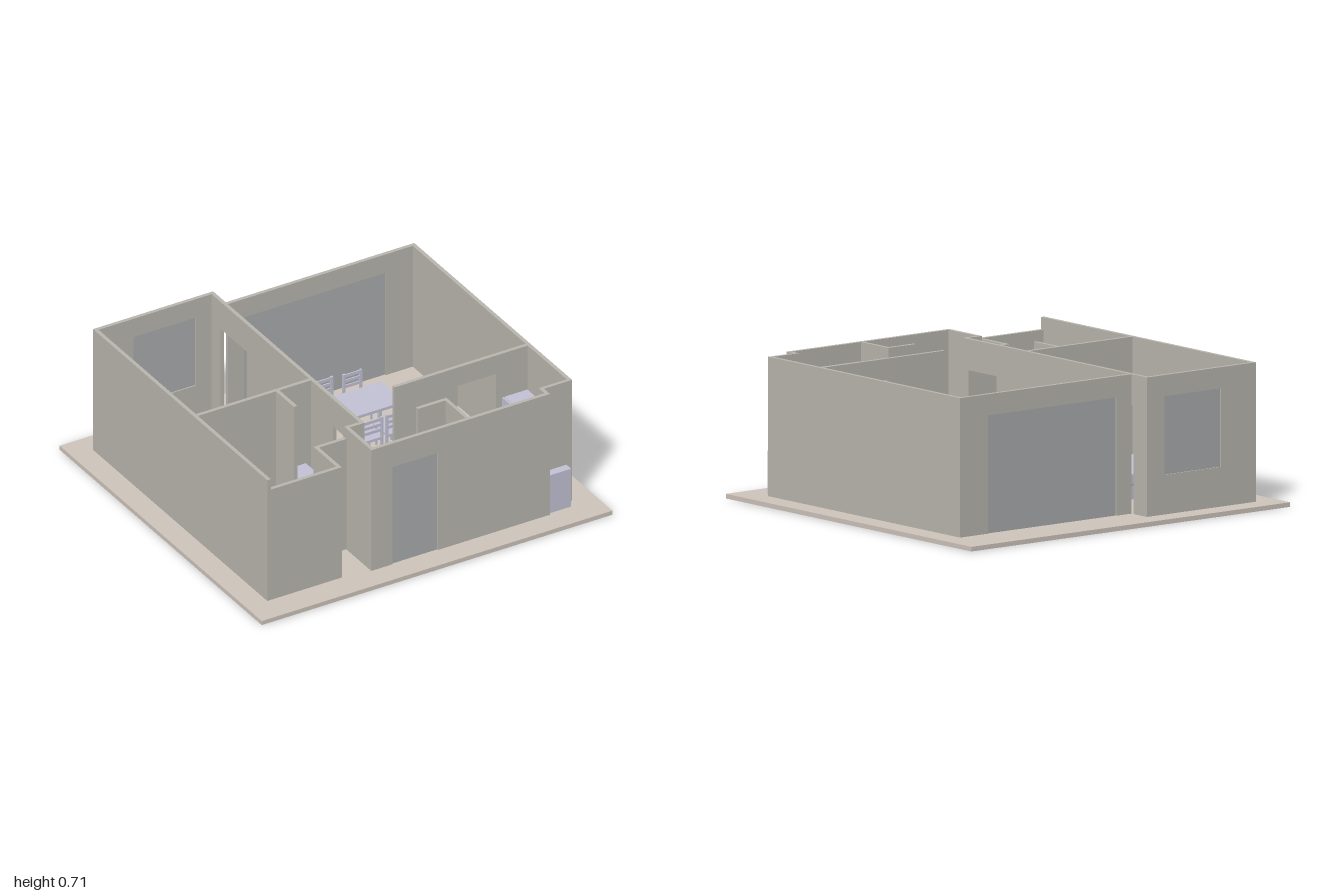
import * as THREE from 'three';
import { RoundedBoxGeometry } from 'three/addons/geometries/RoundedBoxGeometry.js';

const mat = (color) => new THREE.MeshStandardMaterial({ color });
const FLOOR = 0.023, TOP = 0.715, LOW = 0.655;

export function createModel() {
  const house = new THREE.Group();
  house.name = 'house';
  const ground = mat(0xcfc5bc), plaster = mat(0xbab7af), glass = mat(0xa9acae);
  const furniture = mat(0xc3c3d6), metal = mat(0x77777f);

  const group = (name, parent = house) => {
    const g = new THREE.Group();
    g.name = name;
    parent.add(g);
    return g;
  };
  const add = (parent, name, geometry, material, x = 0, y = 0, z = 0) => {
    const m = new THREE.Mesh(geometry, material);
    m.name = name;
    m.position.set(x, y, z);
    parent.add(m);
    return m;
  };
  // box given by its limits; a radius rounds the edges
  const box = (parent, name, x0, x1, y0, y1, z0, z1, material = furniture, r = 0) => {
    const size = [x1 - x0, y1 - y0, z1 - z0];
    const geo = r ? new RoundedBoxGeometry(...size, 3, r) : new THREE.BoxGeometry(...size);
    return add(parent, name, geo, material, (x0 + x1) / 2, (y0 + y1) / 2, (z0 + z1) / 2);
  };
  // rounded rectangle drawn around the origin
  const roundRect = (Type, w, d, r) => {
    const s = new Type();
    s.moveTo(w / 2, 0);
    for (const [sx, sy, a] of [[1, 1, 0], [-1, 1, 1], [-1, -1, 2], [1, -1, 3]]) {
      s.absarc(sx * (w / 2 - r), sy * (d / 2 - r), r, a * Math.PI / 2, (a + 1) * Math.PI / 2, false);
    }
    s.closePath();
    return s;
  };
  // open basin: hollow rim plus a bottom
  const basin = (parent, name, w, d, h, rim, r, x, y, z) => {
    const shape = roundRect(THREE.Shape, w, d, r);
    shape.holes.push(roundRect(THREE.Path, w - 2 * rim, d - 2 * rim, r));
    const geo = new THREE.ExtrudeGeometry(shape, { depth: h, bevelEnabled: false, curveSegments: 8 });
    add(parent, name, geo.rotateX(-Math.PI / 2), furniture, x, y, z);
    box(parent, name + 'Bottom', x - w / 2 + rim / 2, x + w / 2 - rim / 2, y, y + h * 0.3,
      z - d / 2 + rim / 2, z + d / 2 - rim / 2, furniture);
  };

  box(house, 'groundSlab', -1, 1, 0, FLOOR, -0.957, 0.957, ground);

  // walls, each with an optional opening [start, end, bottom, top, hasPane] along its length
  const wall = (name, x0, x1, z0, z1, top = TOP, hole = null) => {
    const g = group(name);
    if (!hole) { box(g, name, x0, x1, FLOOR, top, z0, z1, plaster); return; }
    const [a, b, y0, y1, pane] = hole;
    const alongX = x1 - x0 > z1 - z0;
    const part = (n, s, e, lo, hi, m = plaster, inset = 0) => alongX
      ? box(g, n, s, e, lo, hi, z0 + inset, z1 - inset, m)
      : box(g, n, x0 + inset, x1 - inset, lo, hi, s, e, m);
    part('wallStart', alongX ? x0 : z0, a, FLOOR, top);
    part('wallEnd', b, alongX ? x1 : z1, FLOOR, top);
    part('lintel', a, b, y1, top);
    if (y0 > FLOOR) part('sill', a, b, FLOOR, y0);
    if (pane) part('pane', a, b, y0, y1, glass, 0.007);
  };
  wall('leftSideWall', -0.88, -0.86, -0.84, 0.81);
  wall('bedroomBackWall', -0.86, -0.195, -0.84, -0.82, TOP, [-0.66, -0.305, 0.22, 0.61, true]);
  wall('bedroomDividerWall', -0.215, -0.195, -0.82, 0.3, TOP, [-0.735, -0.49, FLOOR, 0.56, false]);
  wall('bathroomDividerWall', -0.215, -0.195, 0.3, 0.595, TOP, [0.33, 0.55, FLOOR, 0.56, false]);
  wall('livingBackWall', -0.195, 0.88, -0.72, -0.70, TOP, [-0.1, 0.705, FLOOR, 0.61, true]);
  wall('rightSideWall', 0.86, 0.88, -0.70, 0.775);
  wall('cornerFrontWall', 0.72, 0.86, 0.757, 0.775);
  wall('cornerReturnWall', 0.70, 0.72, 0.757, 0.812);
  wall('frontWall', -0.30, 0.72, 0.812, 0.832, TOP, [-0.18, 0.08, FLOOR, 0.58, true]);
  wall('entryReturnWall', -0.30, -0.28, 0.595, 0.812);
  wall('entryBackWall', -0.30, -0.215, 0.575, 0.595);
  wall('bathroomRecessWall', -0.475, -0.30, 0.575, 0.595, LOW);
  wall('bathroomReturnWall', -0.475, -0.455, 0.595, 0.81, LOW);
  wall('bathroomFrontWall', -0.86, -0.475, 0.79, 0.81, LOW);
  wall('bathroomPartition', -0.86, -0.215, 0.10, 0.12);
  wall('bathroomStubWall', -0.415, -0.395, 0.12, 0.29);
  wall('kitchenPartition', 0.10, 0.86, 0.368, 0.388, TOP, [0.46, 0.68, FLOOR, 0.61, false]);
  wall('kitchenEndWall', 0.095, 0.268, 0.60, 0.62);
  wall('kitchenReturnWall', 0.25, 0.268, 0.62, 0.812);

  // bed
  const bed = group('bed');
  box(bed, 'bedBase', -0.855, -0.385, FLOOR, 0.09, -0.41, 0, furniture);
  box(bed, 'mattress', -0.86, -0.38, 0.09, 0.155, -0.415, 0.005, furniture, 0.01);
  box(bed, 'pillow', -0.857, -0.788, 0.15, 0.19, -0.385, 0.02 - 0.04, furniture, 0.019);

  // dining table and chairs
  const table = group('table');
  box(table, 'tableTop', 0.14, 0.485, 0.21, 0.225, -0.38, -0.16);
  for (const x of [0.15, 0.46]) for (const z of [-0.37, -0.185])
    box(table, 'tableLeg', x, x + 0.015, FLOOR, 0.21, z, z + 0.015);
  const chair = (x, z, w, d, facing) => {
    const c = group('chair');
    const seat = new THREE.Shape();
    seat.moveTo(-w * 0.38, -d / 2);
    seat.lineTo(w * 0.38, -d / 2);
    seat.quadraticCurveTo(w * 0.5, 0, w * 0.46, d / 2);
    seat.lineTo(-w * 0.46, d / 2);
    seat.quadraticCurveTo(-w * 0.5, 0, -w * 0.38, -d / 2);
    add(c, 'seat', new THREE.ExtrudeGeometry(seat, { depth: 0.014, bevelEnabled: false })
      .rotateX(-Math.PI / 2), furniture, 0, 0.125, 0);
    for (const s of [-1, 1]) {
      box(c, 'frontLeg', s * w * 0.38 - 0.005, s * w * 0.38 + 0.005, FLOOR, 0.125, -d * 0.42, -d * 0.42 + 0.01);
      box(c, 'backPost', s * w * 0.42 - 0.006, s * w * 0.42 + 0.006, FLOOR, 0.25, d / 2 - 0.012, d / 2);
    }
    for (const y of [0.17, 0.2, 0.23])
      box(c, 'backRail', -w * 0.42, w * 0.42, y, y + 0.016, d / 2 - 0.009, d / 2 - 0.002);
    c.position.set(x, 0, z);
    if (facing < 0) c.rotation.y = Math.PI;
  };
  chair(0.225, -0.44, 0.135, 0.15, -1);
  chair(0.39, -0.435, 0.115, 0.13, -1);
  chair(0.243, -0.12, 0.13, 0.13, 1);
  chair(0.375, -0.12, 0.115, 0.13, 1);

  // bathroom
  const toilet = group('toilet');
  box(toilet, 'cistern', -0.825, -0.725, 0.1, 0.22, 0.14, 0.188, furniture, 0.006);
  box(toilet, 'pedestal', -0.8, -0.75, FLOOR, 0.11, 0.16, 0.25);
  const bowl = new THREE.CylinderGeometry(0.04, 0.022, 0.09, 24);
  add(toilet, 'bowl', bowl, furniture, -0.772, 0.085, 0.242).scale.z = 1.4;
  const sink = group('washbasin');
  box(sink, 'cabinet', -0.64, -0.525, FLOOR, 0.2, 0.18, 0.275);
  basin(sink, 'basin', 0.135, 0.09, 0.05, 0.012, 0.008, -0.5825, 0.2, 0.242);
  box(sink, 'tapLedge', -0.645, -0.52, 0.2, 0.25, 0.17, 0.197);
  box(sink, 'tap', -0.587, -0.578, 0.25, 0.275, 0.185, 0.225, metal);
  const tub = group('bathtub');
  basin(tub, 'tub', 0.383, 0.168, 0.125, 0.013, 0.035, -0.667, FLOOR, 0.676);
  box(tub, 'tap', -0.52, -0.48, 0.155, 0.165, 0.672, 0.68, metal);
  box(tub, 'tapHandles', -0.49, -0.48, 0.155, 0.165, 0.655, 0.697, metal);
  box(house, 'washingMachine', -0.394, -0.245, FLOOR, 0.25, 0.121, 0.28);

  // kitchen
  const fridge = group('fridge');
  box(fridge, 'fridgeBody', 0.725, 0.857, FLOOR, 0.465, 0.39, 0.545);
  box(fridge, 'lowerDoor', 0.713, 0.722, FLOOR, 0.31, 0.39, 0.545);
  box(fridge, 'upperDoor', 0.713, 0.722, 0.318, 0.465, 0.39, 0.545);
  box(fridge, 'handle', 0.703, 0.713, 0.2, 0.3, 0.405, 0.413, metal);
  const shelves = (name, x0, x1, y0, y1, z0, z1, count) => {
    const g = group(name);
    const t = 0.01;
    for (let i = 0; i < count; i++) {
      const y = y0 + (y1 - y0 - t) * i / (count - 1);
      box(g, 'shelf', x0, x1, y, y + t, z0, z1);
    }
    return g;
  };
  const rack = shelves('storageRack', 0.70, 0.85, FLOOR, 0.3, 0.548, 0.755, 5);
  box(rack, 'rackBack', 0.84, 0.85, FLOOR, 0.3, 0.548, 0.755);
  const upper = shelves('wallShelves', 0.272, 0.685, 0.46, 0.62, 0.757, 0.811, 3);
  for (const x of [0.272, 0.675]) box(upper, 'shelfSide', x, x + 0.01, 0.46, 0.62, 0.757, 0.811);
  box(house, 'sinkCounter', 0.555, 0.695, FLOOR, 0.24, 0.70, 0.811);
  box(house, 'pantryCabinet', 0.155, 0.25, FLOOR, 0.24, 0.64, 0.80);
  const stove = group('stove');
  box(stove, 'stoveBody', 0.272, 0.445, FLOOR, 0.24, 0.69, 0.811);
  for (const x of [0.3, 0.39])
    add(stove, 'burner', new THREE.TorusGeometry(0.02, 0.004, 6, 20).rotateX(Math.PI / 2), metal, x, 0.243, 0.723);

  // outdoor unit by the front corner
  box(house, 'outdoorUnit', 0.718, 0.847, FLOOR, 0.24, 0.776, 0.82);
  return house;
}
